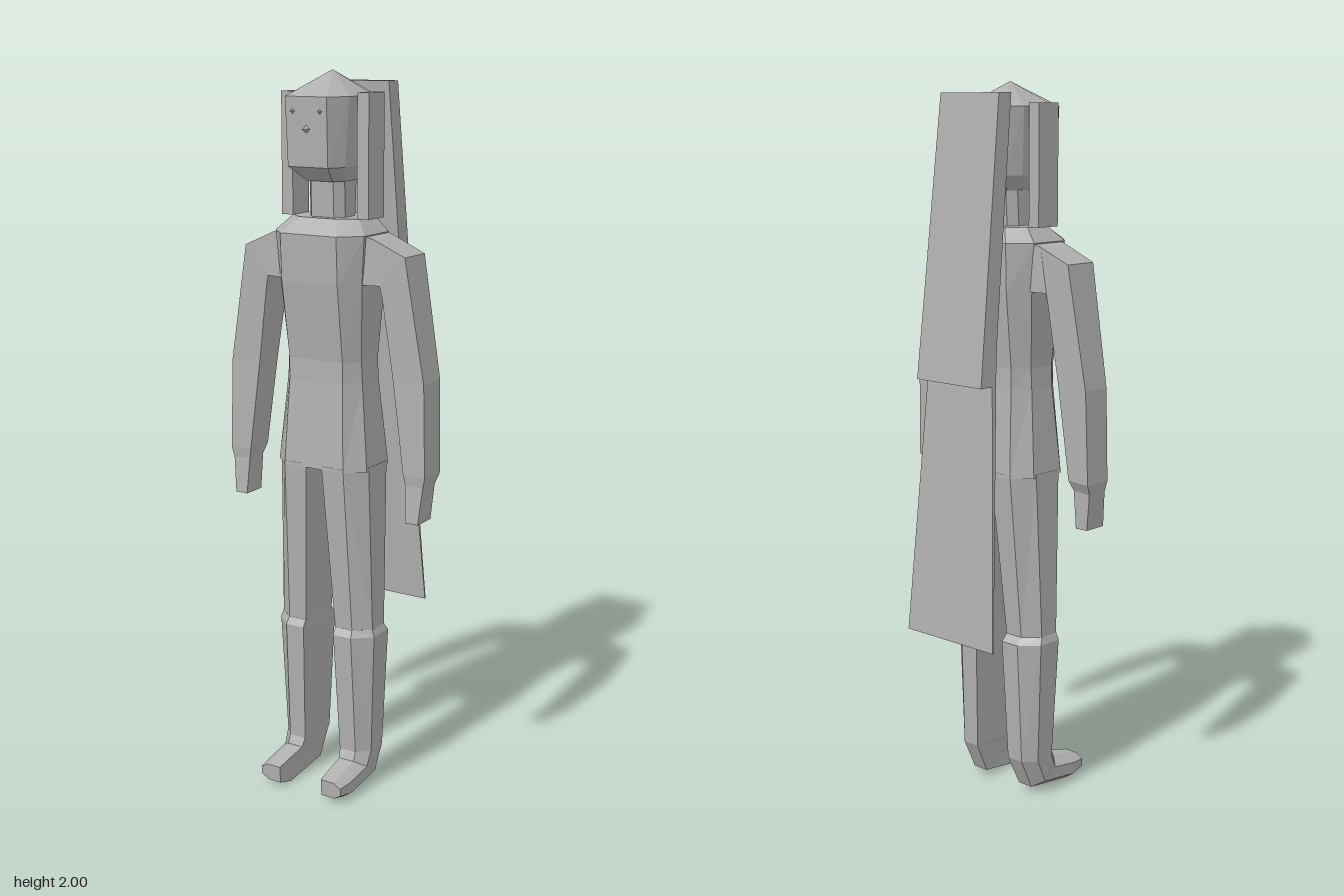
import * as THREE from 'three';

const grey = new THREE.MeshStandardMaterial({ color: 0xb0b0b0, flatShading: true });
grey.name = 'grey';

// Skins a list of equal-length rings of [x, y, z], with both ends capped.
function loft(name, rings, mirror = 1) {
  const n = rings[0].length;
  const positions = rings.flat().flatMap(([x, y, z]) => [x * mirror, y, z]);
  const index = [];
  for (let r = 0; r < rings.length - 1; r++) {
    for (let i = 0; i < n; i++) {
      const j = (i + 1) % n, a = r * n + i, b = r * n + j;
      index.push(a, b, b + n, a, b + n, a + n);
    }
  }
  const last = (rings.length - 1) * n;
  for (let i = 1; i < n - 1; i++) {
    index.push(0, i + 1, i, last, last + i, last + i + 1);
  }
  // Turn every face outward, whichever way the rings run
  const at = (i) => new THREE.Vector3().fromArray(positions, i * 3);
  let volume = 0;
  for (let i = 0; i < index.length; i += 3) {
    volume += at(index[i]).dot(at(index[i + 1]).cross(at(index[i + 2])));
  }
  if (volume < 0) index.reverse();
  const indexed = new THREE.BufferGeometry();
  indexed.setAttribute('position', new THREE.Float32BufferAttribute(positions, 3));
  indexed.setIndex(index);
  const geometry = indexed.toNonIndexed();
  geometry.computeVertexNormals();
  const mesh = new THREE.Mesh(geometry, grey);
  mesh.name = name;
  return mesh;
}

// Level octagon: outer half width, flat half width, front z, back z, corner depth
const octagon = ([y, xo, xi, zf, zb, c]) => [
  [xi, y, zf], [xo, y, zf - c], [xo, y, zb + c], [xi, y, zb],
  [-xi, y, zb], [-xo, y, zb + c], [-xo, y, zf - c], [-xi, y, zf],
];

// Leg section, flat on the inside, that may tilt between its front and back edge
function legRing([x0, xm, x1, yf, zf, yb, zb]) {
  const point = (x, t) => [x, yf + (yb - yf) * t, zf + (zb - zf) * t];
  return [point(x0, 0), point(xm, 0), point(x1, 0.27), point(x1, 0.73), point(xm, 1), point(x0, 1)];
}

// Arm section between an outer and an inner point
const armRing = ([xo, yo, xi, yi, zf, zb]) => [[xo, yo, zf], [xo, yo, zb], [xi, yi, zb], [xi, yi, zf]];

// Cape section: half width, height, front z, back z
const capeRing = ([x, y, zf, zb]) => [[x, y, zf], [x, y, zb], [-x, y, zb], [-x, y, zf]];

export function createModel() {
  const model = new THREE.Group();
  model.name = 'figure';

  model.add(loft('torso', [
    [0.94, 0.143, 0.095, 0.135, -0.068, 0.045],
    [1.18, 0.12, 0.085, 0.122, -0.052, 0.045],
    [1.24, 0.117, 0.085, 0.122, -0.052, 0.045],
    [1.45, 0.13, 0.088, 0.152, -0.075, 0.055],
    [1.58, 0.14, 0.088, 0.158, -0.078, 0.055],
    [1.62, 0.105, 0.06, 0.11, -0.05, 0.04],
  ].map(octagon)));

  model.add(loft('neck', [
    [1.6, 0.055, 0.035, 0.085, -0.012, 0.025],
    [1.73, 0.055, 0.035, 0.09, -0.02, 0.025],
  ].map(octagon)));

  // Head with tapered jaw and a faceted pointed crown
  model.add(loft('head', [
    [1.715, 0.058, 0.04, 0.1, -0.02, 0.03],
    [1.755, 0.083, 0.062, 0.156, -0.056, 0.05],
    [1.935, 0.095, 0.064, 0.165, -0.073, 0.06],
    [2.0, 0.0005, 0.0003, 0.0375, 0.0365, 0.0003],
  ].map(octagon)));

  // Face
  const nose = new THREE.Mesh(new THREE.ConeGeometry(0.012, 0.025, 4), grey);
  nose.name = 'nose';
  nose.rotation.x = Math.PI / 2;
  nose.position.set(0, 1.853, 0.17);
  model.add(nose);

  for (const side of [1, -1]) {
    const label = side > 0 ? 'left' : 'right';

    const eye = new THREE.Mesh(new THREE.ConeGeometry(0.012, 0.012, 4), grey);
    eye.name = label + 'Eye';
    eye.rotation.x = Math.PI / 2;
    eye.position.set(0.042 * side, 1.898, 0.164);
    model.add(eye);

    const panel = new THREE.Mesh(new THREE.BoxGeometry(0.035, 0.325, 0.078), grey);
    panel.name = label + 'HeadPanel';
    panel.position.set(0.119 * side, 1.782, 0.038);
    model.add(panel);

    model.add(loft(label + 'Arm', [
      [0.12, 1.583, 0.11, 1.45, 0.098, -0.025],
      [0.16, 1.571, 0.178, 1.45, 0.088, -0.02],
      [0.253, 1.53, 0.185, 1.42, 0.086, -0.018],
      [0.31, 1.2, 0.215, 1.21, 0.079, -0.009],
      [0.317, 0.945, 0.25, 0.95, 0.08, -0.004],
    ].map(armRing), side));

    model.add(loft(label + 'Hand', [
      [0.317, 0.945, 0.25, 0.95, 0.08, -0.004],
      [0.31, 0.915, 0.256, 0.92, 0.077, 0.012],
      [0.3, 0.815, 0.262, 0.815, 0.085, 0.015],
    ].map(armRing), side));

    model.add(loft(label + 'Leg', [
      [0.025, 0.095, 0.143, 0.95, 0.135, 0.95, -0.068],
      [0.05, 0.105, 0.15, 0.475, 0.103, 0.475, -0.03],
    ].map(legRing), side));

    // Boot shaft bending forward into the foot
    model.add(loft(label + 'Boot', [
      [0.05, 0.105, 0.15, 0.48, 0.104, 0.48, -0.03],
      [0.05, 0.108, 0.157, 0.46, 0.115, 0.46, -0.05],
      [0.06, 0.112, 0.143, 0.11, 0.095, 0.11, -0.035],
      [0.064, 0.112, 0.141, 0.085, 0.105, 0.02, 0.008],
      [0.067, 0.112, 0.14, 0.073, 0.165, 0, 0.16],
      [0.07, 0.112, 0.134, 0.062, 0.21, 0.014, 0.207],
    ].map(legRing), side));
  }

  // Cape: a thick upper slab and a thin flared tail
  model.add(loft('upperCape', [
    [0.105, 1.97, -0.075, -0.122],
    [0.119, 1.21, -0.155, -0.207],
  ].map(capeRing)));
  model.add(loft('lowerCape', [
    [0.106, 1.45, -0.131, -0.15],
    [0.162, 0.49, -0.206, -0.21],
  ].map(capeRing)));

  return model;
}
